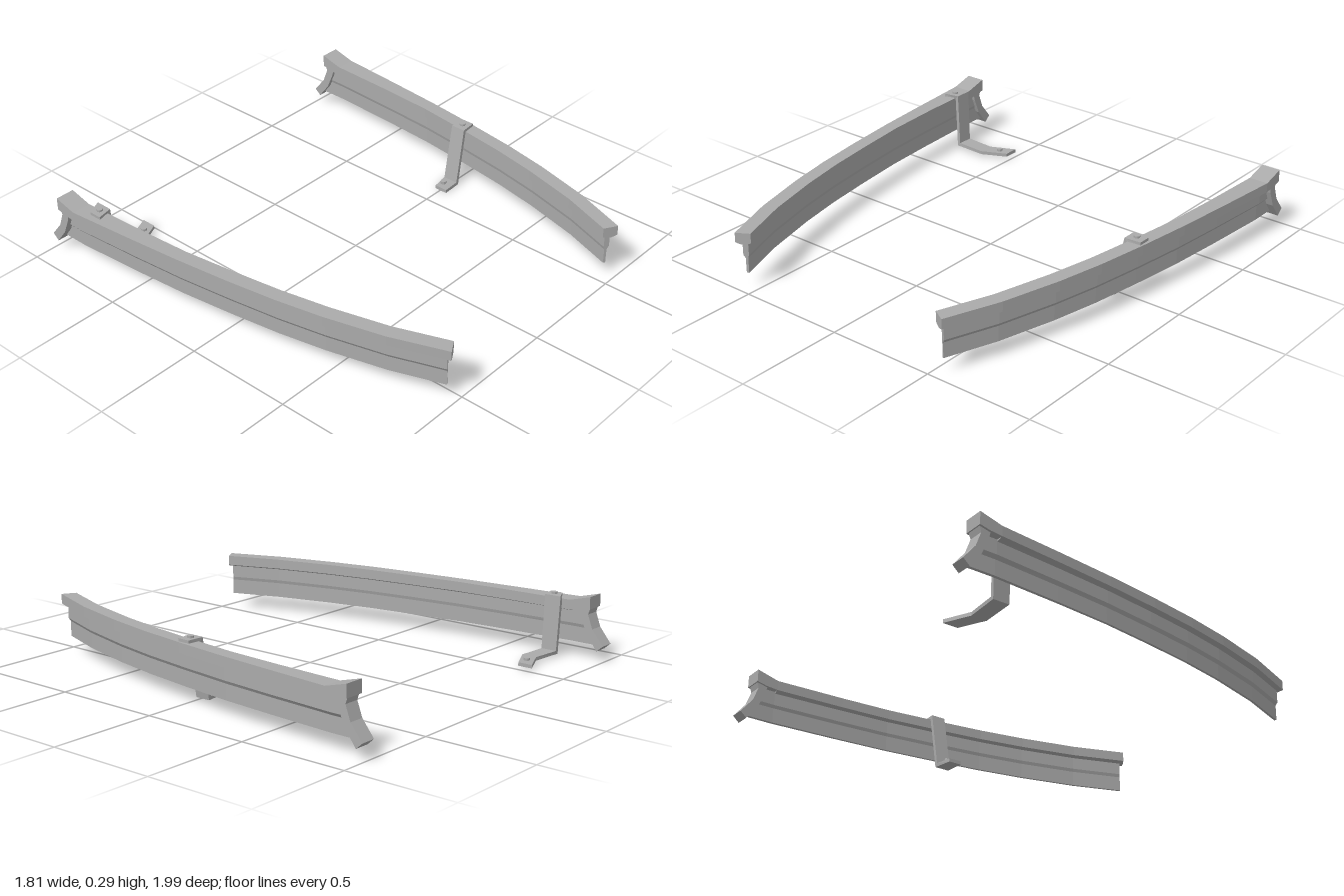
import * as THREE from 'three';

const steel = new THREE.MeshStandardMaterial({ color: 0xaaaaaa });
steel.name = 'grey steel';

// Skin matching rings of [x, y, z] points; the 2D profile triangulates the end caps.
function loft(name, rings, profile) {
  const n = profile.length;
  const tris = [];
  const add = (a, b, c) => tris.push([a, b, c]);
  for (let i = 0; i < rings.length - 1; i++) {
    for (let j = 0; j < n; j++) {
      const k = (j + 1) % n;
      add(rings[i][j], rings[i + 1][j], rings[i + 1][k]);
      add(rings[i][j], rings[i + 1][k], rings[i][k]);
    }
  }
  const flat = profile.map(([u, v]) => new THREE.Vector2(u, v));
  const ccw = !THREE.ShapeUtils.isClockWise(flat);
  const first = rings[0], last = rings[rings.length - 1];
  for (const face of THREE.ShapeUtils.triangulateShape(flat, [])) {
    const [a, b, c] = face;
    // make each cap triangle follow the profile's own direction
    const area = (flat[b].x - flat[a].x) * (flat[c].y - flat[a].y) - (flat[b].y - flat[a].y) * (flat[c].x - flat[a].x);
    const [p, q, r] = (area > 0) === ccw ? [a, b, c] : [a, c, b];
    add(first[p], first[q], first[r]);
    add(last[p], last[r], last[q]);
  }
  // turn the skin outward when its volume is negative
  const v = (p) => new THREE.Vector3(...p);
  const volume = tris.reduce((s, [a, b, c]) => s + v(a).dot(v(b).cross(v(c))), 0);
  const pos = tris.flatMap(([a, b, c]) => (volume > 0 ? [a, b, c] : [a, c, b])).flat();
  const g = new THREE.BufferGeometry();
  g.setAttribute('position', new THREE.Float32BufferAttribute(pos, 3));
  g.computeVertexNormals();
  const mesh = new THREE.Mesh(g, steel);
  mesh.name = name;
  return mesh;
}

// Stations along the rail: inner x, inner z, outer x, outer z
const stations = [
  [0.815, -0.83, 0.905, -0.83], [0.80, -0.5, 0.877, -0.52], [0.783, -0.25, 0.85, -0.25],
  [0.75, 0, 0.817, 0.01], [0.715, 0.23, 0.78, 0.25], [0.67, 0.45, 0.735, 0.47],
  [0.60, 0.715, 0.663, 0.74], [0.51, 0.957, 0.568, 0.992],
];

// Profiles as [share of width from the inner edge, height]
const flangeProfile = [[0, 0.265], [0, 0.22], [0.28, 0.212], [0.64, 0.212], [1, 0.22], [1, 0.265]];
const webProfile = [
  [0.28, 0.22], [0.28, 0.155], [0.34, 0.14], [0.34, 0.07],
  [0.5, 0.07], [0.5, 0.14], [0.64, 0.155], [0.64, 0.22],
];

// End pieces as [z, y]
const flareProfile = [[-0.83, 0.265], [-0.933, 0.293], [-0.933, 0.236], [-0.885, 0.225], [-0.83, 0.22]];
const finProfile = [
  [-0.93, 0.24], [-0.92, 0.21], [-0.944, 0.145], [-1, 0.075],
  [-0.97, 0.048], [-0.917, 0.118], [-0.885, 0.193], [-0.874, 0.24],
];

function rail(side, name) {
  const group = new THREE.Group();
  group.name = name;
  const section = (profile, [xi, zi, xo, zo]) =>
    profile.map(([s, y]) => [side * (xi + (xo - xi) * s), y, zi + (zo - zi) * s]);
  group.add(loft('topFlange', stations.map((s) => section(flangeProfile, s)), flangeProfile));

  // The web stops short of the flange in front and leans into the fin at the back
  const webRings = stations.map((s) => section(webProfile, s));
  webRings[webRings.length - 1].forEach((p) => { p[0] += side * 0.008; p[2] -= 0.015; });
  const back = webRings[0].map(([x, y]) => [x, y, y < 0.1 ? -0.955 : y < 0.16 ? -0.912 : -0.885]);
  group.add(loft('web', [back, ...webRings], webProfile));

  const slab = (label, profile, x0, x1) =>
    loft(label, [x0, x1].map((x) => profile.map(([z, y]) => [side * x, y, z])), profile);
  group.add(slab('flaredEnd', flareProfile, 0.815, 0.905));
  group.add(slab('endFin', finProfile, 0.825, 0.895));
  return group;
}

// Bent strap through points [x, y, back z, front z], mitred at the bends
function strap(name, points, thickness) {
  const dir = (a, b) => new THREE.Vector2(b[0] - a[0], b[1] - a[1]).normalize();
  const rings = points.map((p, i) => {
    const d0 = dir(points[Math.max(i - 1, 0)], points[Math.max(i, 1)]);
    const d1 = i < points.length - 1 ? dir(p, points[i + 1]) : d0;
    const mid = d0.clone().add(d1).normalize();
    const h = thickness / 2 / mid.dot(d0);
    const [ox, oy] = [-mid.y * h, mid.x * h];
    const [x, y, zb, zf] = p;
    return [[x + ox, y + oy, zb], [x + ox, y + oy, zf], [x - ox, y - oy, zf], [x - ox, y - oy, zb]];
  });
  return loft(name, rings, [[0, 0], [1, 0], [1, 1], [0, 1]]);
}

function bolt(x, y, z) {
  const g = new THREE.CylinderGeometry(0.014, 0.014, 0.014, 8).toNonIndexed();
  g.computeVertexNormals();
  const mesh = new THREE.Mesh(g, steel);
  mesh.name = 'bolt';
  mesh.position.set(x, y, z);
  return mesh;
}

function bracket(name, points, thickness, bolts) {
  const group = new THREE.Group();
  group.name = name;
  group.add(strap('strap', points, thickness), ...bolts.map((b) => bolt(...b)));
  return group;
}

export function createModel() {
  const model = new THREE.Group();
  model.name = 'curvedRails';
  model.add(rail(1, 'leftRail'), rail(-1, 'rightRail'));

  // Long bracket at the back of the right rail
  model.add(bracket('longBracket', [
    [-0.865, 0.27, -0.76, -0.70], [-0.80, 0.27, -0.795, -0.715], [-0.787, 0.02, -0.79, -0.714],
    [-0.635, 0.02, -0.777, -0.705], [-0.517, 0.02, -0.83, -0.76],
  ], 0.016, [[-0.83, 0.28, -0.74], [-0.57, 0.032, -0.77]]));

  // Short bracket at the middle of the left rail
  model.add(bracket('shortBracket', [
    [0.808, 0.27, -0.04, 0.018], [0.738, 0.27, -0.045, 0.025],
    [0.69, 0.008, -0.042, 0.03], [0.6, 0.008, -0.028, 0.035],
  ], 0.016, [[0.768, 0.28, -0.013], [0.64, 0.022, -0.013]]));
  return model;
}
